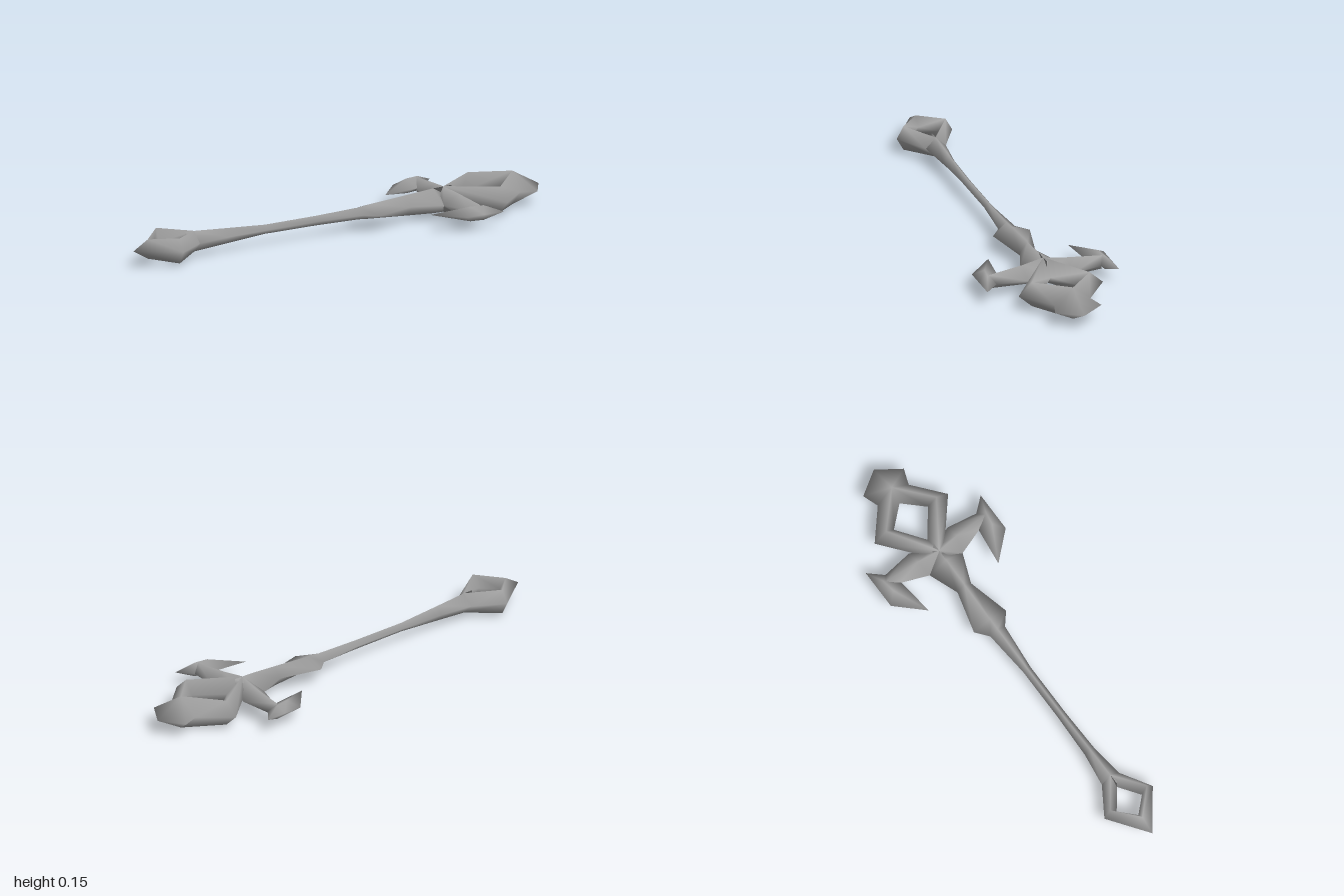
import * as THREE from 'three';
import { mergeGeometries, mergeVertices } from 'three/addons/utils/BufferGeometryUtils.js';

const MID = 0.0735; // height of the symmetry plane

// Skin of a bar with a diamond section. Each row is
// [outerX, outerZ, ridgeX, ridgeZ, ridgeHeight, innerX, innerZ]; side -1 mirrors it in z.
function bar(rows, side = 1) {
  const pos = [], index = [];
  for (const [ox, oz, rx, rz, h, ix, iz] of rows) {
    pos.push(ox, MID, oz * side, rx, MID + h, rz * side, ix, MID, iz * side, rx, MID - h, rz * side);
  }
  for (let i = 0; i < rows.length - 1; i++) {
    for (let j = 0; j < 4; j++) {
      const a = i * 4 + j, c = i * 4 + (j + 1) % 4, b = a + 4, d = c + 4;
      if (side > 0) index.push(a, b, c, b, d, c);
      else index.push(a, c, b, b, c, d);
    }
  }
  const g = new THREE.BufferGeometry();
  g.setAttribute('position', new THREE.Float32BufferAttribute(pos, 3));
  g.setIndex(index);
  return g;
}

// Weld the pieces so shading flows smoothly over the joints
function weld(...pieces) {
  const g = mergeVertices(mergeGeometries(pieces), 1e-4);
  g.computeVertexNormals();
  return g;
}

export function createModel() {
  const model = new THREE.Group();
  model.name = 'staff';
  const metal = new THREE.MeshStandardMaterial({ color: 0xa3a3a3 });
  metal.name = 'grey metal';
  const add = (name, geometry) => {
    const mesh = new THREE.Mesh(geometry, metal);
    mesh.name = name;
    model.add(mesh);
  };

  // Shaft: [x, half width, half height], with a pointed collar
  const shaft = [
    [-0.745, 0, 0.045], [-0.7, 0.045, 0.045], [-0.55, 0.025, 0.034], [-0.35, 0.019, 0.02],
    [-0.1, 0.019, 0.021], [0.11, 0.038, 0.026], [0.165, 0.083, 0.031], [0.35, 0.035, 0.045],
    [0.48, 0.085, 0.054], [0.57, 0, 0.056],
  ];
  add('shaft', weld(bar(shaft.map(([x, w, h]) => [x, w, x, 0, h, x, -w]))));

  // Diamond ring at the butt end
  const tailRing = [
    [-1, 0, -0.93, 0, 0.042, -0.9, 0],
    [-0.83, 0.125, -0.83, 0.095, 0.055, -0.835, 0.065],
    [-0.7, 0.045, -0.7, 0, 0.045, -0.745, 0],
  ];
  add('tailRing', weld(bar(tailRing), bar(tailRing, -1)));

  // Diamond ring at the head, ending in a broad arrow tip
  const headRing = [
    [0.5, 0, 0.53, 0, 0.056, 0.615, 0],
    [0.73, 0.19, 0.73, 0.13, 0.056, 0.733, 0.088],
    [0.86, 0.08, 0.87, 0, 0.0735, 0.815, 0],
    [0.93, 0.105, 0.87, 0, 0.0735, 0.815, 0],
    [1, 0, 0.87, 0, 0.0735, 0.815, 0],
  ];
  add('headRing', weld(bar(headRing), bar(headRing, -1)));

  // Side arms, each carrying a hooked barb
  const arm = [
    [0.47, 0.05, 0.53, 0, 0.056, 0.57, 0],
    [0.48, 0.085, 0.545, 0.1, 0.045, 0.61, 0.1],
    [0.525, 0.205, 0.555, 0.255, 0.031, 0.59, 0.235],
  ];
  const barb = [
    [0.355, 0.18, 0.355, 0.18, 0, 0.355, 0.18],
    [0.465, 0.297, 0.505, 0.255, 0.032, 0.525, 0.2],
    [0.55, 0.297, 0.565, 0.265, 0.032, 0.59, 0.235],
    [0.645, 0.297, 0.645, 0.297, 0, 0.645, 0.297],
  ];
  for (const [side, word] of [[1, 'front'], [-1, 'back']]) {
    add(word + 'Arm', weld(bar(arm, side)));
    add(word + 'Barb', weld(bar(barb, side)));
  }
  return model;
}
